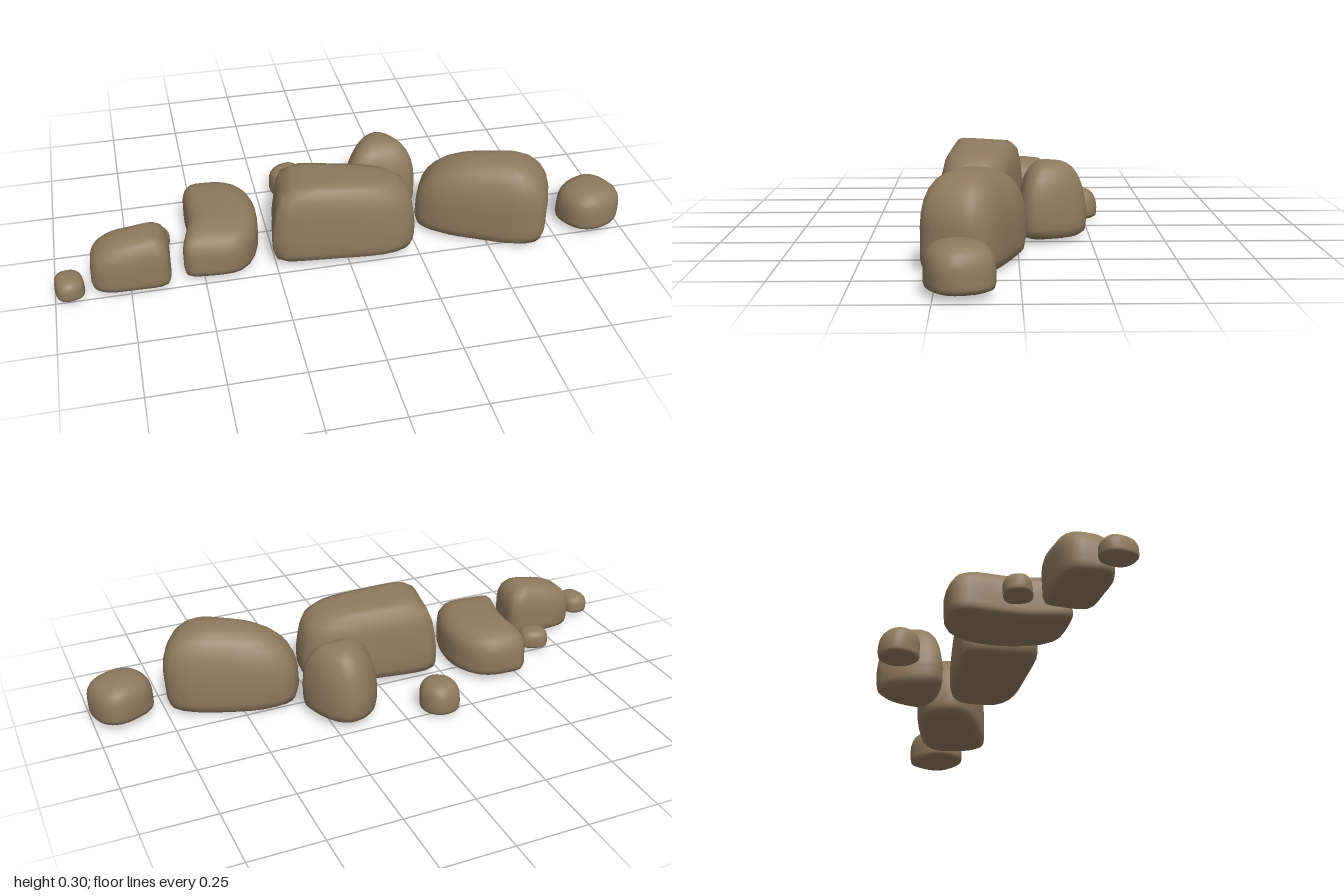
import * as THREE from 'three';
import { mergeVertices } from 'three/addons/utils/BufferGeometryUtils.js';

const stone = new THREE.MeshStandardMaterial({ color: 0x8f7a5e });
stone.name = 'brown stone';

// Point on a superellipse in the direction of an angle: power 2 is round, higher is squarer
function squircle(angle, power) {
  const c = Math.cos(angle), s = Math.sin(angle);
  const r = (Math.abs(c) ** power + Math.abs(s) ** power) ** (-1 / power);
  return [c * r, s * r];
}

// One stone. Ground plan: length and width are half sizes along an axis turned by `turn`,
// tail and head set how square its two ends are, taper narrows the head, bend curves the axis.
// Elevation: crown sets how square the top is, narrow and leanX / leanZ shift the upper part,
// slopeX / slopeZ tilt the top.
function rock({ name, x, z, length, width, height, base = 0.015, turn = 0, tail = 2.5, head = 2.5,
  taper = 0, bend = 0, crown = 2.8, narrow = 0, leanX = 0, leanZ = 0, slopeX = 0, slopeZ = 0,
  bumps = 0.02, sides = 36, rings = 18 }) {
  const pos = [], index = [];
  const belly = base + 0.35 * (height - base);
  for (let i = 0; i <= rings; i++) {
    const rise = (i / rings - 0.5) * Math.PI;
    const [reach, t] = squircle(rise, rise < 0 ? 7 : crown);
    const up = Math.max(t, 0);
    const scale = Math.max(reach, 0) * (1 - narrow * up);
    for (let j = 0; j < sides; j++) {
      const a = (j / sides) * Math.PI * 2;
      const [u, v] = squircle(a, Math.cos(a) < 0 ? tail : head);
      const wobble = 1 + bumps * Math.sin(3 * a + x * 40 + rise);
      const along = length * u * wobble * scale;
      const across = (width * v * (1 - taper * u) * wobble + bend * u * u) * scale;
      const dx = along * Math.cos(turn) - across * Math.sin(turn) + leanX * up;
      const dz = along * Math.sin(turn) + across * Math.cos(turn) + leanZ * up;
      const top = height + slopeX * dx + slopeZ * dz;
      const y = t < 0 ? belly + (belly - base) * t : belly + (top - belly) * t;
      pos.push(x + dx, y, z + dz);
      if (i === 0) continue;
      const k = (j + 1) % sides, lo = (i - 1) * sides, hi = i * sides;
      if (i > 1) index.push(lo + j, hi + j, lo + k);
      if (i < rings) index.push(lo + k, hi + j, hi + k);
    }
  }
  let geo = new THREE.BufferGeometry();
  geo.setAttribute('position', new THREE.Float32BufferAttribute(pos, 3));
  geo.setIndex(index);
  geo = mergeVertices(geo, 1e-5);
  geo.computeVertexNormals();
  const mesh = new THREE.Mesh(geo, stone);
  mesh.name = name;
  return mesh;
}

export function createModel() {
  const group = new THREE.Group();
  group.name = 'rockCluster';

  // Large boulders
  group.add(
    rock({ name: 'centreBoulder', x: 0, z: 0.13, length: 0.248, width: 0.13, height: 0.293, turn: 0.13,
      tail: 9, head: 3.2, taper: 0.06, crown: 5.5, narrow: 0.1, slopeX: -0.07, slopeZ: 0.03, bumps: 0.01 }),
    rock({ name: 'rightBoulder', x: 0.505, z: 0.125, length: 0.232, width: 0.12, height: 0.302, base: 0.003,
      turn: 0.4, tail: 3, head: 4, taper: -0.14, crown: 2.5, leanX: 0.01, leanZ: 0.01,
      slopeX: 0.08, slopeZ: 0.06 }),
    rock({ name: 'backBoulder', x: 0.18, z: -0.12, length: 0.115, width: 0.118, height: 0.272,
      turn: -Math.PI / 2, tail: 3, head: 2.2, taper: 0.28, crown: 2.9, narrow: 0.15, leanX: 0.01, leanZ: 0.005 }),
    rock({ name: 'longBoulder', x: -0.412, z: 0.05, length: 0.2, width: 0.122, height: 0.182, turn: 1.64,
      tail: 3.2, head: 5, bend: 0.05, crown: 3.8, slopeX: -0.04, bumps: 0.01 }),
    rock({ name: 'leftBoulder', x: -0.745, z: 0.18, length: 0.133, width: 0.088, height: 0.198, turn: 0.04,
      tail: 3, head: 6, crown: 3.2, leanX: 0.005, slopeX: 0.18 }));

  // Small stones and pebbles
  group.add(
    rock({ name: 'rightEndStone', x: 0.895, z: 0.177, length: 0.107, width: 0.098, height: 0.16, base: 0.02,
      turn: -0.4, crown: 3 }),
    rock({ name: 'backPebble', x: -0.13, z: -0.23, length: 0.07, width: 0.066, height: 0.12, base: 0.01,
      turn: 1.2, tail: 2.2, head: 2.2, leanZ: 0.008 }),
    rock({ name: 'innerPebble', x: -0.652, z: 0.018, length: 0.054, width: 0.046, height: 0.09, base: 0.02,
      turn: 0.4 }),
    rock({ name: 'leftEndPebble', x: -0.95, z: 0.218, length: 0.058, width: 0.048, height: 0.09, base: 0.02,
      turn: 1.4 }));
  return group;
}
